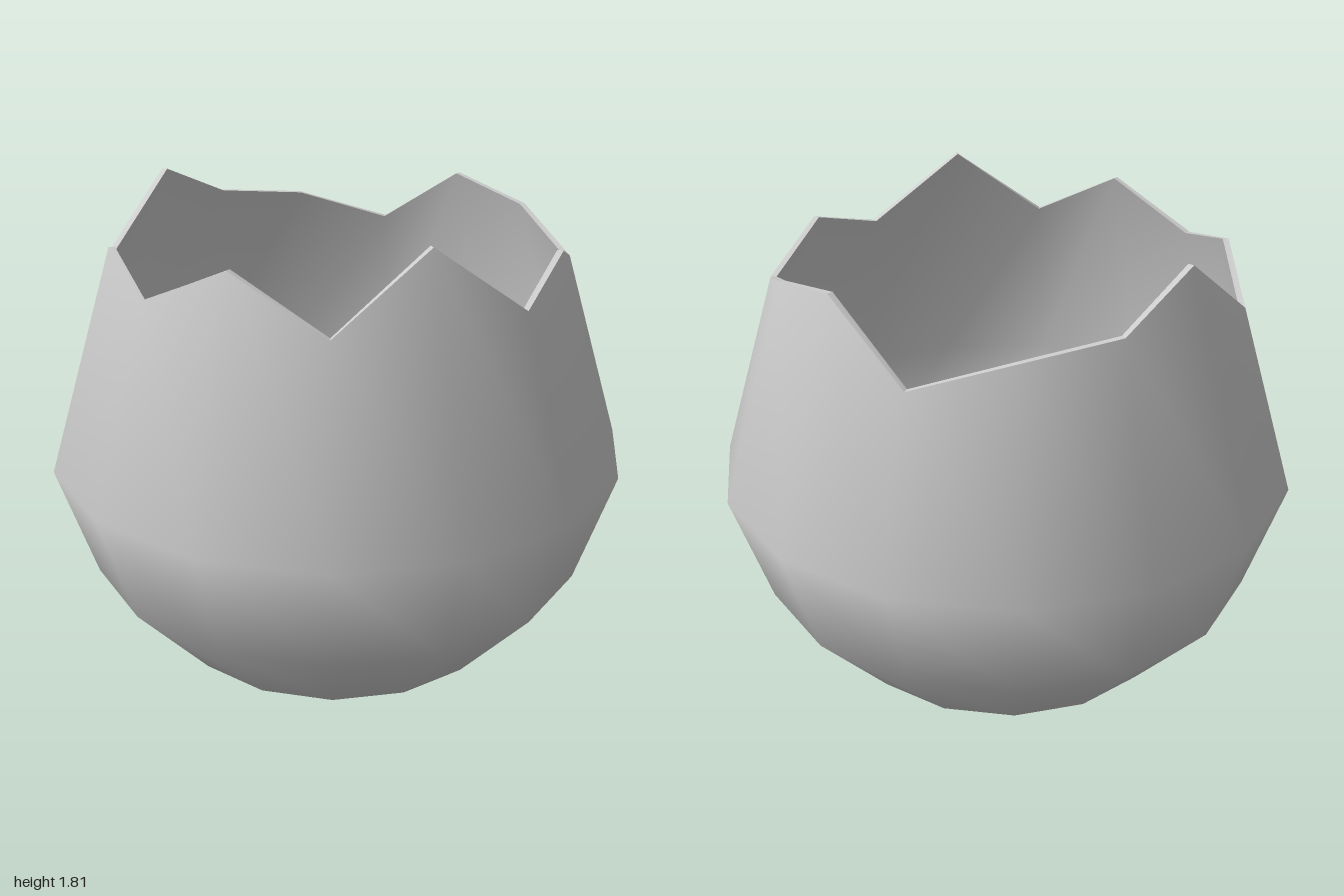
import * as THREE from 'three';

const SIDES = 15;
const CENTRE_Z = 0.011;
// wall rings [radius, height] from the bottom point up to the widest ring
const RINGS = [[0.598, 0.2], [0.875, 0.51], [1.0055, 0.91]];
// broken rim heights, starting at the back and going round by the left side
const RIM = [1.66, 1.62, 1.52, 1.735, 1.675, 1.57, 1.68, 1.575, 1.81, 1.57, 1.74, 1.595, 1.68, 1.56, 1.8];
const THICKNESS = 0.021;

const rimRadius = (y) => 1.0055 - 0.306 * (y - 0.91);

function ringPoint(radius, y, k) {
  const a = (k / SIDES) * Math.PI * 2;
  return [radius * Math.sin(a), y, CENTRE_Z - radius * Math.cos(a)];
}

function makeMesh(name, positions, index, material) {
  const geometry = new THREE.BufferGeometry();
  geometry.setAttribute('position', new THREE.Float32BufferAttribute(positions, 3));
  geometry.setIndex(index);
  geometry.computeVertexNormals();
  const mesh = new THREE.Mesh(geometry, material);
  mesh.name = name;
  return mesh;
}

// smooth bowl wall; inset moves it inwards, inward turns its faces to the inside
function makeWall(name, inset, inward, material) {
  const positions = [0, inset, CENTRE_Z];
  const index = [];
  const tri = (a, b, c) => (inward ? index.push(a, c, b) : index.push(a, b, c));
  for (const [r, y] of RINGS) {
    const lift = inset * (0.91 - y);
    for (let k = 0; k < SIDES; k++) positions.push(...ringPoint(r - inset, y + lift, k));
  }
  RIM.forEach((y, k) => positions.push(...ringPoint(rimRadius(y) - inset, y, k)));
  for (let k = 0; k < SIDES; k++) {
    const n = (k + 1) % SIDES;
    tri(0, 1 + k, 1 + n);
    for (let j = 0; j < RINGS.length; j++) {
      const low = 1 + j * SIDES, high = low + SIDES;
      tri(low + k, high + k, high + n);
      tri(low + k, high + n, low + n);
    }
  }
  return makeMesh(name, positions, index, material);
}

// thin broken edge joining the outer and inner walls, one flat piece per side
function makeRim(material) {
  const positions = [];
  const index = [];
  for (let k = 0; k < SIDES; k++) {
    const base = positions.length / 3;
    for (const i of [k, (k + 1) % SIDES]) {
      const y = RIM[i], r = rimRadius(y);
      positions.push(...ringPoint(r, y, i), ...ringPoint(r - THICKNESS, y, i));
    }
    index.push(base, base + 1, base + 3, base, base + 3, base + 2);
  }
  return makeMesh('brokenRim', positions, index, material);
}

export function createModel() {
  const group = new THREE.Group();
  group.name = 'crackedShell';
  const material = new THREE.MeshStandardMaterial({ color: 0xcccccc });
  group.add(makeWall('outerShell', 0, false, material));
  group.add(makeWall('innerShell', THICKNESS, true, material));
  group.add(makeRim(material));
  return group;
}
